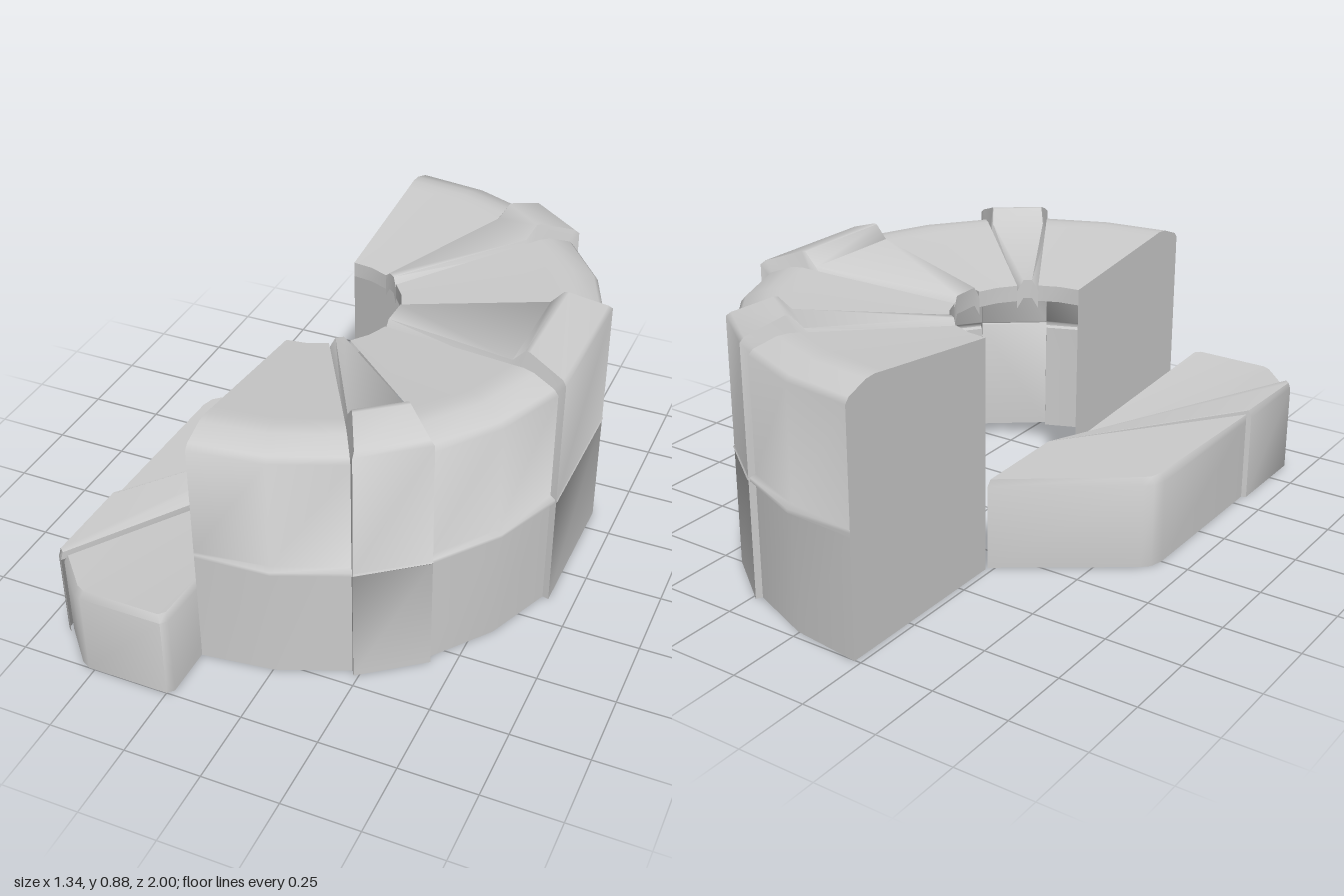
import * as THREE from 'three';
import { toCreasedNormals } from 'three/addons/utils/BufferGeometryUtils.js';

const CX = -0.23, CZ = -0.095; // centre of the half ring
const material = new THREE.MeshStandardMaterial({ color: 0xcccccc, side: THREE.DoubleSide });

function makeMesh(name, positions, index, crease) {
  const geo = new THREE.BufferGeometry();
  geo.setAttribute('position', new THREE.Float32BufferAttribute(positions, 3));
  geo.setIndex(index);
  const mesh = new THREE.Mesh(toCreasedNormals(geo, crease), material);
  mesh.name = name;
  return mesh;
}

// Joins sections, each a list of [radius, height, degrees clockwise from the back]
function loft(name, sections) {
  const pos = [], index = [], n = sections[0].length;
  for (const section of sections) {
    for (const [r, y, deg] of section) {
      const a = THREE.MathUtils.degToRad(deg);
      pos.push(CX + r * Math.sin(a), y, CZ - r * Math.cos(a));
    }
  }
  for (let s = 0; s < sections.length - 1; s++) {
    for (let j = 0; j < n - 1; j++) {
      const c = s * n + j, d = c + n;
      index.push(d, c, c + 1, d, c + 1, d + 1);
    }
  }
  return makeMesh(name, pos, index, 1.2);
}

// Wall, chamfer, inward sloping roof and inner lip of a panel; a trim band at mid height
const WALL = 0.908;
const panelProfile = [
  [WALL, 0], [WALL, 0.388], [0.925, 0.392], [0.925, 0.404], [WALL, 0.414],
  [WALL, 0.785], [0.893, 0.802], [0.82, 0.829], [0.78, 0.832], [0.74, 0.827], [0.26, 0.772], [0.26, 0.72],
];

// The trim band fades out at the two ends of the half ring
function panel(from, to) {
  const sections = [];
  for (let a = from; a <= to; a += 15) {
    const limit = a % 180 === 0 ? WALL : 1;
    sections.push(panelProfile.map(([r, y]) => [Math.min(r, limit), y, a]));
  }
  return loft('wallPanel', sections);
}

// Rib profile: radius, height, inset of the side in degrees
const ribProfile = [
  [0.93, 0, 0], [0.93, 0.395, 0], [0.934, 0.4, 0], [0.93, 0.405, 0], [0.93, 0.825, 0.2],
  [0.915, 0.838, 0.6], [0.79, 0.88, 1.3], [0.775, 0.88, 1.3], [0.735, 0.836, 0.8],
  [0.26, 0.79, 4.5], [0.26, 0.73, 4.5],
];

function rib(from, to) {
  const base = (a) => ribProfile.map(([r, y]) =>
    [r > 0.3 ? r - 0.03 : r, Math.max(0, Math.min(y - 0.035, 0.8)), a]);
  return loft('rib', [
    base(from),
    ribProfile.map(([r, y, i]) => [r, y, from + i]),
    ribProfile.map(([r, y, i]) => [r, y, to - i]),
    base(to),
  ]);
}

// Flat end of the half ring, side = -1 back, +1 front
function endWall(side) {
  const points = panelProfile.filter(([r]) => r <= WALL)
    .map(([r, y]) => new THREE.Vector2(CZ + side * r, y));
  points.push(new THREE.Vector2(CZ + side * 0.26, 0));
  const geo = new THREE.ShapeGeometry(new THREE.Shape(points));
  geo.rotateY(-Math.PI / 2).translate(CX, 0, 0);
  const mesh = new THREE.Mesh(geo, material);
  mesh.name = 'endWall';
  return mesh;
}

// Low slab: corners [x, z, bevel, drop] anticlockwise from above; the listed
// edges reach the ground, the others get only a short skirt
function slab(name, corners, height, walls) {
  const pos = [], index = [], n = corners.length;
  const mx = corners.reduce((s, c) => s + c[0], 0) / n;
  const mz = corners.reduce((s, c) => s + c[1], 0) / n;
  for (const [x, z, b, drop = 0] of corners) {
    const len = Math.hypot(mx - x, mz - z), y = height - drop;
    pos.push(x, 0, z, x, y - 0.025, z, x + (mx - x) / len * b, y, z + (mz - z) / len * b);
  }
  for (let i = 0; i < n; i++) {
    const p = i * 3, q = ((i + 1) % n) * 3;
    if (walls.includes(i)) index.push(p, q, q + 1, p, q + 1, p + 1);
    index.push(p + 1, q + 1, q + 2, p + 1, q + 2, p + 2);
    if (i > 0 && i < n - 1) index.push(2, p + 2, q + 2);
  }
  return makeMesh(name, pos, index, 0.9);
}

export function createModel() {
  const model = new THREE.Group();
  model.name = 'halfRingWall';

  // Half ring, open below and towards its centre
  const ring = new THREE.Group();
  ring.name = 'halfRing';
  for (const [a, b] of [[0, 30], [45, 75], [105, 135], [150, 180]]) ring.add(panel(a, b));
  for (const [a, b] of [[30, 45], [75, 105], [135, 150]]) ring.add(rib(a, b));
  ring.add(endWall(-1), endWall(1));
  model.add(ring);

  // Low block beside the opening, its front part sinking towards the ring
  const block = new THREE.Group();
  block.name = 'lowBlock';
  block.add(slab('backBlock', [
    [-0.23, -0.345, 0.01], [-0.62, -0.07, 0.015], [-0.645, -0.045, 0.015],
    [-0.657, 0, 0.015], [-0.657, 0.56, 0], [-0.23, 0, 0],
  ], 0.305, [0, 1, 2, 3]));
  block.add(slab('diagonalRib', [
    [-0.23, 0, 0, 0.015], [-0.65, 0.555, 0], [-0.672, 0.565, 0.01],
    [-0.672, 0.87, 0.01], [-0.655, 0.885, 0.01], [-0.23, 0.155, 0, 0.05],
  ], 0.32, [1, 2, 3]));
  block.add(slab('frontBlock', [
    [-0.23, 0.155, 0, 0.06], [-0.655, 0.87, 0.015], [-0.55, 0.985, 0.015], [-0.52, 1, 0.015],
    [-0.25, 1, 0.015], [-0.232, 0.98, 0.015],
  ], 0.305, [1, 2, 3, 4, 5]));
  model.add(block);
  return model;
}
